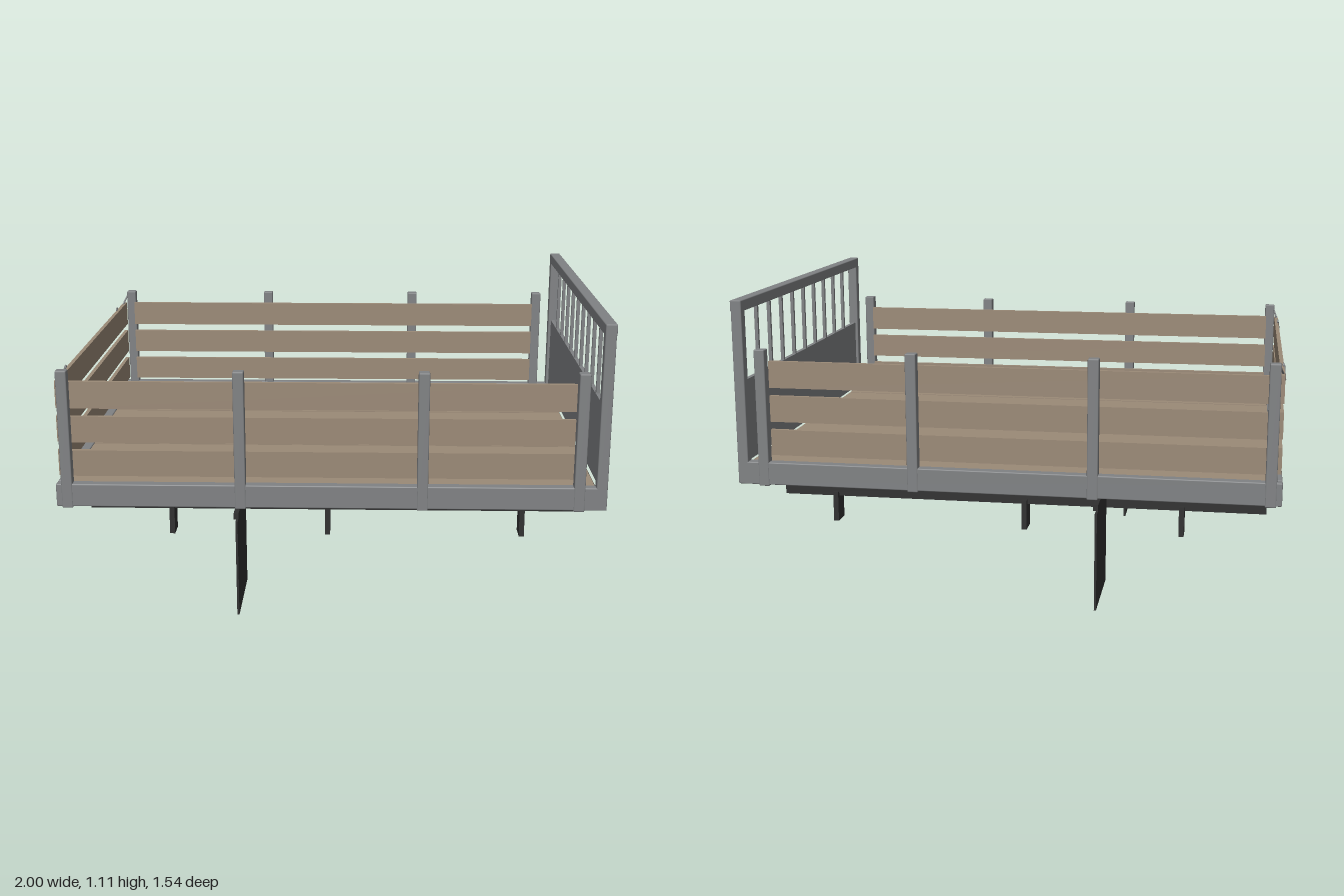
import * as THREE from 'three';
import { RoundedBoxGeometry } from 'three/addons/geometries/RoundedBoxGeometry.js';

const steel = new THREE.MeshStandardMaterial({ color: 0x808284 });
const wood = new THREE.MeshStandardMaterial({ color: 0x9b8a77 });
const dark = new THREE.MeshStandardMaterial({ color: 0x303030 });

export function createModel() {
  const model = new THREE.Group();

  // Box given by its extents on each axis; bevel > 0 softens the edges
  function box(name, material, [x0, x1], [y0, y1], [z0, z1], bevel = 0) {
    const size = [x1 - x0, y1 - y0, z1 - z0];
    const geometry = bevel
      ? new RoundedBoxGeometry(...size, 1, bevel)
      : new THREE.BoxGeometry(...size);
    const mesh = new THREE.Mesh(geometry, material);
    mesh.name = name;
    mesh.position.set((x0 + x1) / 2, (y0 + y1) / 2, (z0 + z1) / 2);
    model.add(mesh);
    return mesh;
  }
  const around = (c, w) => [c - w / 2, c + w / 2];
  const side = (s, a, b) => (s > 0 ? [a, b] : [-b, -a]);

  // Floor planks with narrow gaps
  for (let i = -4; i <= 4; i++)
    box('floorPlank', wood, [-0.96, 0.955], [0.47, 0.5], around(i * 0.161, 0.151));

  // Cross members below the floor
  for (let i = 0; i < 7; i++)
    box('crossMember', dark, around(-0.965 + i * 0.319, 0.045), [0.42, 0.47], [-0.725, 0.725]);

  // Rear rail and the three tailgate boards
  box('rearRail', steel, [-1, -0.96], [0.42, 0.505], [-0.715, 0.715], 0.004);
  const boards = [[0.525, 0.622], [0.652, 0.75], [0.78, 0.88]];
  for (const y of boards) box('tailgateBoard', wood, [-0.995, -0.98], y, [-0.708, 0.708]);

  for (const s of [1, -1]) {
    // Side rail, stakes and boards
    box('sideRail', steel, [-1, 0.985], [0.42, 0.505], side(s, 0.715, 0.755), 0.004);
    for (const x of [-0.96, -0.33, 0.33, 0.895])
      box('sideStake', steel, around(x, 0.04), [0.415, 0.928], side(s, 0.717, 0.757), 0.004);
    for (const y of boards) box('sideBoard', wood, [-0.945, 0.875], y, side(s, 0.701, 0.717));

    // Chassis beam with its mounting brackets
    box('chassisBeam', dark, [-0.955, 0.945], [0.28, 0.42], side(s, 0.335, 0.385));
    for (const x of [-0.635, -0.025, 0.735])
      box('mountBracket', dark, around(x, 0.02), [0.18, 0.298], side(s, 0.325, 0.4));

    // Mud flap under its hanger bar
    box('flapHanger', dark, around(-0.345, 0.018), [0.38, 0.402], side(s, 0.42, 0.768));
    box('mudFlap', dark, around(-0.345, 0.008), [0, 0.366], side(s, 0.427, 0.76));

    // Tailgate chain, sagging from the corner stake to an eye on the top board
    const chain = new THREE.CatmullRomCurve3([
      [-0.978, 0.908, 0.715], [-0.988, 0.882, 0.672], [-0.997, 0.848, 0.61],
      [-0.997, 0.85, 0.565], [-0.994, 0.885, 0.525],
    ].map(([x, y, z]) => new THREE.Vector3(x, y, z * s)));
    const chainMesh = new THREE.Mesh(new THREE.TubeGeometry(chain, 16, 0.004, 6), steel);
    chainMesh.name = 'tailgateChain';
    const eye = new THREE.Mesh(new THREE.TorusGeometry(0.008, 0.003, 6, 12), steel);
    eye.name = 'chainEye';
    eye.position.set(-0.992, 0.883, 0.525 * s);
    eye.rotation.y = Math.PI / 2;
    model.add(chainMesh, eye);

    // Headboard posts
    box('headboardPost', steel, [0.955, 0.995], [0.42, 1.105], side(s, 0.715, 0.755), 0.004);
  }

  // Headboard top rail, sheet panel and window bars
  box('headboardTopRail', steel, [0.955, 0.997], [1.065, 1.107], [-0.755, 0.755], 0.004);
  box('headboardPanel', steel, [0.967, 0.983], [0.5, 0.805], [-0.716, 0.716]);
  for (let i = -4; i <= 4; i++)
    box('headboardBar', steel, around(0.975, 0.013), [0.8, 1.07], around(i * 0.1372, 0.013));

  return model;
}
